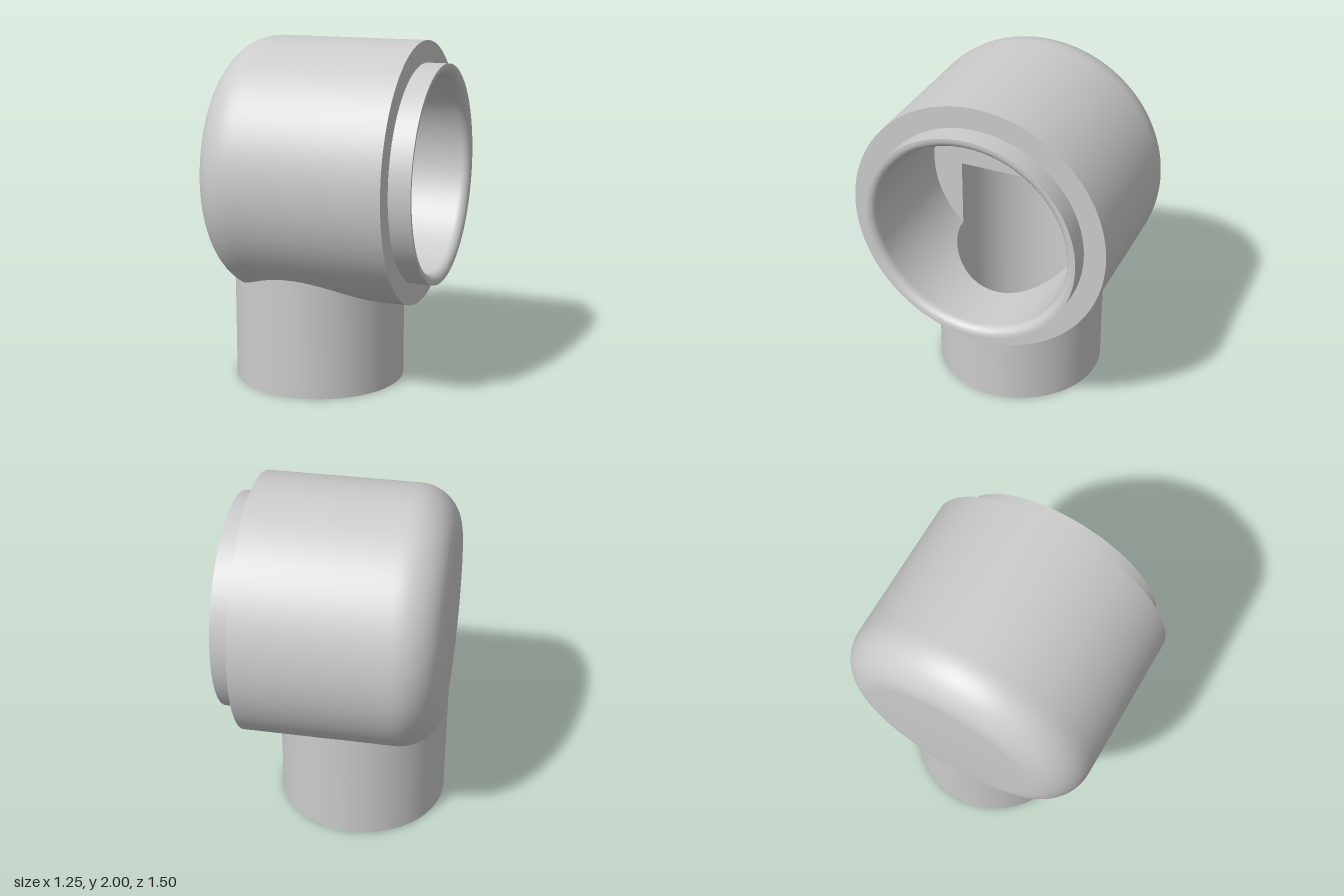
import * as THREE from 'three';
import { toCreasedNormals } from 'three/addons/utils/BufferGeometryUtils.js';
import { ParametricGeometry } from 'three/addons/geometries/ParametricGeometry.js';

const SEG = 128;
const AXIS_Y = 1.25;              // height of the horizontal barrel axis
const BARREL_R = 0.75, FILLET = 0.25, CAP_X = -0.625;
const BORE_R = 0.565;             // horizontal bore
const PIPE_X = -0.125, PIPE_R = 0.5, PIPE_BORE = 0.385;
const LIP = 0.06;                 // rounding of the inner rims

const material = new THREE.MeshStandardMaterial({ color: 0xcccccc, side: THREE.DoubleSide });
const v2 = (x, y) => new THREE.Vector2(x, y);

function addMesh(group, name, geometry) {
  const mesh = new THREE.Mesh(geometry, material);
  mesh.name = name;
  group.add(mesh);
}

function surface(fn, nu, nv) {
  const g = new ParametricGeometry((u, v, p) => p.set(...fn(u, v)), nu, nv);
  g.computeVertexNormals();
  return g;
}

// Height of the underside of a horizontal cylinder at a given z
const underside = (r, z) => AXIS_Y - Math.sqrt(Math.max(0, r * r - z * z));

// Outer barrel radius at x, including the rounded closed end
function barrelRadius(x) {
  const d = Math.max(0, CAP_X + FILLET - x);
  return BARREL_R - FILLET + Math.sqrt(Math.max(0, FILLET * FILLET - d * d));
}

// Rounded closed end, body, shoulder and spigot, opened where the pipe enters
function barrelGeometry() {
  const pts = [v2(0, CAP_X)];
  for (let i = 0; i <= 12; i++) {
    const a = (i / 12) * Math.PI / 2;
    pts.push(v2(BARREL_R - FILLET + FILLET * Math.sin(a), CAP_X + FILLET - FILLET * Math.cos(a)));
  }
  for (let i = 1; i <= 24; i++) pts.push(v2(BARREL_R, -0.375 + 0.875 * i / 24));
  pts.push(v2(0.625, 0.5), v2(0.625, 0.625));
  for (let i = 0; i <= 8; i++) {
    const a = (i / 8) * Math.PI / 2;
    pts.push(v2(BORE_R + 0.05 * (1 - Math.sin(a)), 0.575 + 0.05 * Math.cos(a)));
  }
  const g = new THREE.LatheGeometry(pts, SEG);
  g.rotateZ(-Math.PI / 2);
  g.translate(0, AXIS_Y, 0);

  // Drop the faces crossing the pipe; the cut lies inside the pipe wall
  const p = g.attributes.position, src = g.index.array, kept = [];
  for (let i = 0; i < src.length; i += 3) {
    const t = [src[i], src[i + 1], src[i + 2]];
    const mean = (get) => t.reduce((s, k) => s + get(k), 0) / 3;
    const x = mean((k) => p.getX(k)), y = mean((k) => p.getY(k)), z = mean((k) => p.getZ(k));
    const inPipe = y < AXIS_Y && x > CAP_X + 0.01 && x < 0.45 && Math.hypot(x - PIPE_X, z) < 0.45;
    if (!inPipe) kept.push(...t);
  }
  g.setIndex(kept);
  return toCreasedNormals(g, Math.PI / 4);
}

// Pipe outside with its rounded inner rim; the top follows the barrel
function pipeGeometry() {
  const pts = [];
  for (let i = 0; i <= 8; i++) {
    const a = (i / 8) * Math.PI / 2;
    pts.push(v2(PIPE_BORE + LIP * (1 - Math.cos(a)), LIP * (1 - Math.sin(a))));
  }
  pts.push(v2(PIPE_R, 0), v2(PIPE_R, 0.5));
  const g = new THREE.LatheGeometry(pts, SEG);
  g.translate(PIPE_X, 0, 0);
  const p = g.attributes.position;
  for (let i = 0; i < p.count; i++) {
    if (p.getY(i) > 0.4) p.setY(i, underside(barrelRadius(p.getX(i)), p.getZ(i)) + 0.02);
  }
  return toCreasedNormals(g, Math.PI / 4);
}

export function createModel() {
  const group = new THREE.Group();
  group.name = 'elbowFitting';

  addMesh(group, 'barrel', barrelGeometry());
  addMesh(group, 'pipe', pipeGeometry());

  // Horizontal bore, trimmed where the pipe bore breaks through
  addMesh(group, 'barrelBore', surface((u, v) => {
    const a = u * Math.PI * 2;
    const y = Math.cos(a) * BORE_R, z = Math.sin(a) * BORE_R;
    const cut = y < 0 ? Math.sqrt(Math.max(0, PIPE_BORE ** 2 - z * z)) : 0;
    const x0 = PIPE_X + cut;
    return [x0 + (0.575 - x0) * v, AXIS_Y + y, z];
  }, 256, 8));

  // Vertical bore: the front half stops at the barrel bore, the back half at the axis
  for (const side of [1, -1]) {
    addMesh(group, side > 0 ? 'pipeBoreFront' : 'pipeBoreBack', surface((u, v) => {
      const a = (u - 0.5) * Math.PI;
      const z = PIPE_BORE * Math.sin(a) * side;
      const top = side > 0 ? underside(BORE_R, z) : AXIS_Y;
      return [PIPE_X + side * PIPE_BORE * Math.cos(a), LIP + (top - LIP) * v, z];
    }, 64, 8));
  }

  // End wall of the horizontal bore with the slot into the vertical bore
  const corner = Math.asin(PIPE_BORE / BORE_R);
  const wall = new THREE.Shape();
  wall.moveTo(-PIPE_BORE, 0);
  wall.lineTo(PIPE_BORE, 0);
  wall.lineTo(PIPE_BORE, -BORE_R * Math.cos(corner));
  wall.absarc(0, 0, BORE_R, -Math.PI / 2 + corner, Math.PI * 1.5 - corner, false);
  wall.closePath();
  const wallGeometry = new THREE.ShapeGeometry(wall, 96);
  wallGeometry.rotateY(Math.PI / 2);
  wallGeometry.translate(PIPE_X, AXIS_Y, 0);
  addMesh(group, 'boreEndWall', wallGeometry);

  // Flat ceiling over the back half of the vertical bore
  const ceiling = new THREE.CircleGeometry(PIPE_BORE, 64, Math.PI / 2, Math.PI);
  ceiling.rotateX(Math.PI / 2);
  ceiling.translate(PIPE_X, AXIS_Y, 0);
  addMesh(group, 'pipeBoreCeiling', ceiling);

  return group;
}
